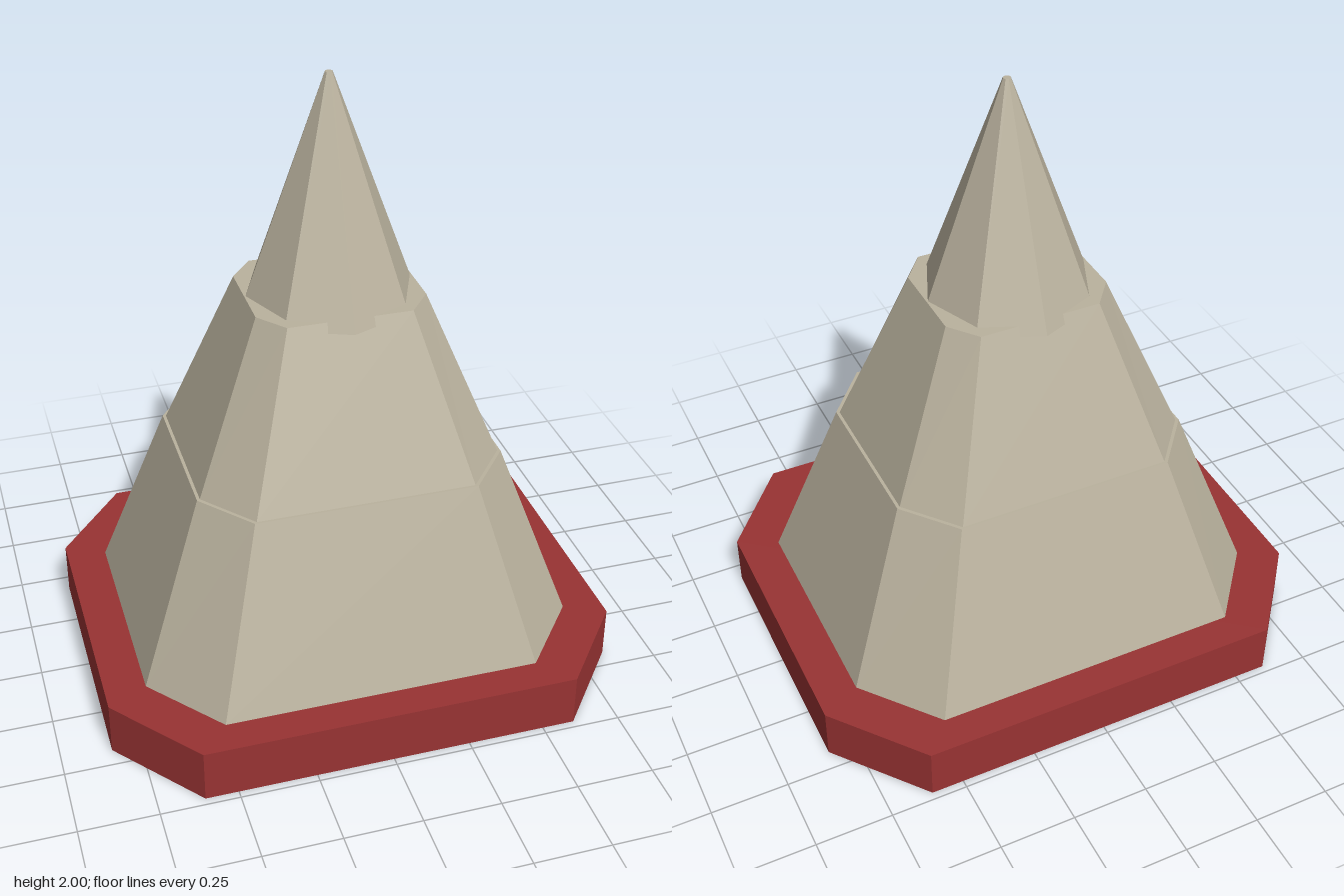
import * as THREE from 'three';

// Chamfered rectangle: half sizes hx, hz; the long edges end at cx, cz
function ring([hx, cx, hz, cz], y) {
  return [[hx, cz], [hx, -cz], [cx, -hz], [-cx, -hz], [-hx, -cz], [-hx, cz], [-cx, hz], [cx, hz]]
    .map(([x, z]) => [x, y, z]);
}

// Closed, flat-faced solid between two octagonal rings
function tier(name, lower, y0, upper, y1, material) {
  const b = ring(lower, y0), t = ring(upper, y1), pos = [];
  const tri = (...corners) => corners.forEach((c) => pos.push(...c));
  for (let i = 0; i < 8; i++) {
    const j = (i + 1) % 8;
    tri(b[i], b[j], t[j]);
    tri(b[i], t[j], t[i]);
    if (i > 0 && i < 7) {
      tri(t[0], t[i], t[j]);
      tri(b[0], b[j], b[i]);
    }
  }
  const geometry = new THREE.BufferGeometry();
  geometry.setAttribute('position', new THREE.Float32BufferAttribute(pos, 3));
  geometry.computeVertexNormals();
  const mesh = new THREE.Mesh(geometry, material);
  mesh.name = name;
  return mesh;
}

export function createModel() {
  const stone = new THREE.MeshStandardMaterial({ color: 0xbab29e, flatShading: true });
  const red = new THREE.MeshStandardMaterial({ color: 0x983333, flatShading: true });
  const group = new THREE.Group();
  group.name = 'steppedSpire';

  // Red plinth
  const plinth = [0.84, 0.605, 0.725, 0.435];
  group.add(tier('plinth', plinth, 0, plinth, 0.175, red));

  // Two tapering stone tiers with a narrow ledge between them
  group.add(tier('lowerTier', [0.71, 0.51, 0.615, 0.37], 0.175, [0.497, 0.357, 0.43, 0.26], 0.767, stone));
  group.add(tier('upperTier', [0.487, 0.35, 0.422, 0.255], 0.767, [0.27, 0.197, 0.235, 0.142], 1.307, stone));

  // Eight-sided spire, sunk slightly into the upper tier
  const spire = new THREE.Mesh(new THREE.CylinderGeometry(0.012, 0.277, 0.725, 8), stone);
  spire.name = 'spire';
  spire.position.y = 1.275 + 0.725 / 2;
  group.add(spire);

  return group;
}
